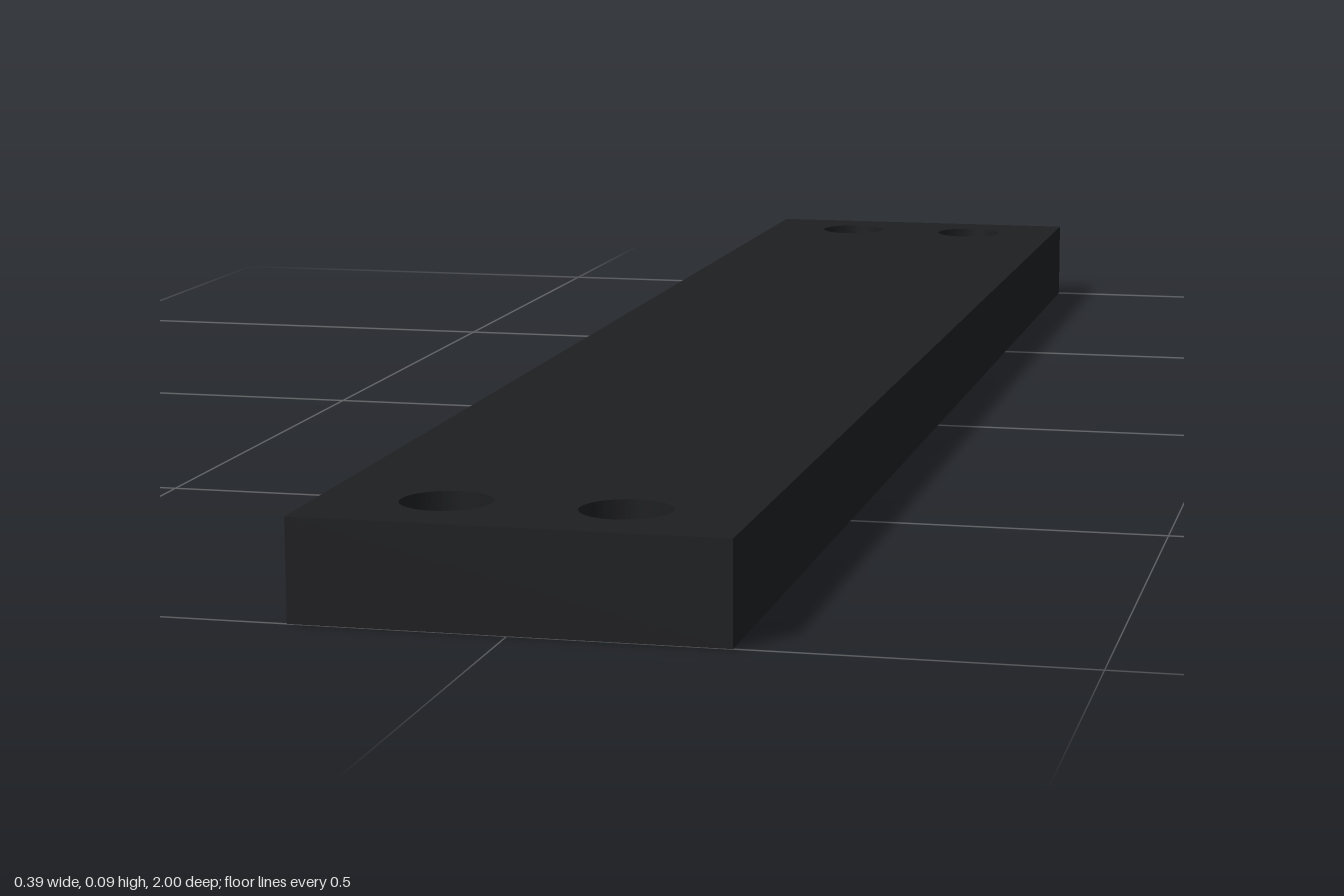
import * as THREE from 'three';

const WIDTH = 0.388, LENGTH = 2, THICKNESS = 0.093;
const HOLE_X = 0.08, HOLE_Z = 0.91, HOLE_RADIUS = 0.041;

export function createModel() {
  const model = new THREE.Group();
  model.name = 'mountingBar';

  // Rectangular outline
  const outline = new THREE.Shape([
    new THREE.Vector2(-WIDTH / 2, -LENGTH / 2),
    new THREE.Vector2(WIDTH / 2, -LENGTH / 2),
    new THREE.Vector2(WIDTH / 2, LENGTH / 2),
    new THREE.Vector2(-WIDTH / 2, LENGTH / 2),
  ]);

  // A pair of through holes at each end
  for (const sx of [-1, 1]) {
    for (const sz of [-1, 1]) {
      const hole = new THREE.Path();
      hole.absarc(sx * HOLE_X, sz * HOLE_Z, HOLE_RADIUS, 0, Math.PI * 2, true);
      outline.holes.push(hole);
    }
  }

  // Flat bar, laid down so the holes run vertically
  const geometry = new THREE.ExtrudeGeometry(outline, {
    depth: THICKNESS, bevelEnabled: false, curveSegments: 32,
  });
  geometry.rotateX(-Math.PI / 2);

  const bar = new THREE.Mesh(geometry, new THREE.MeshStandardMaterial({ color: 0x1e1f21 }));
  bar.name = 'drilledBar';
  model.add(bar);
  return model;
}
